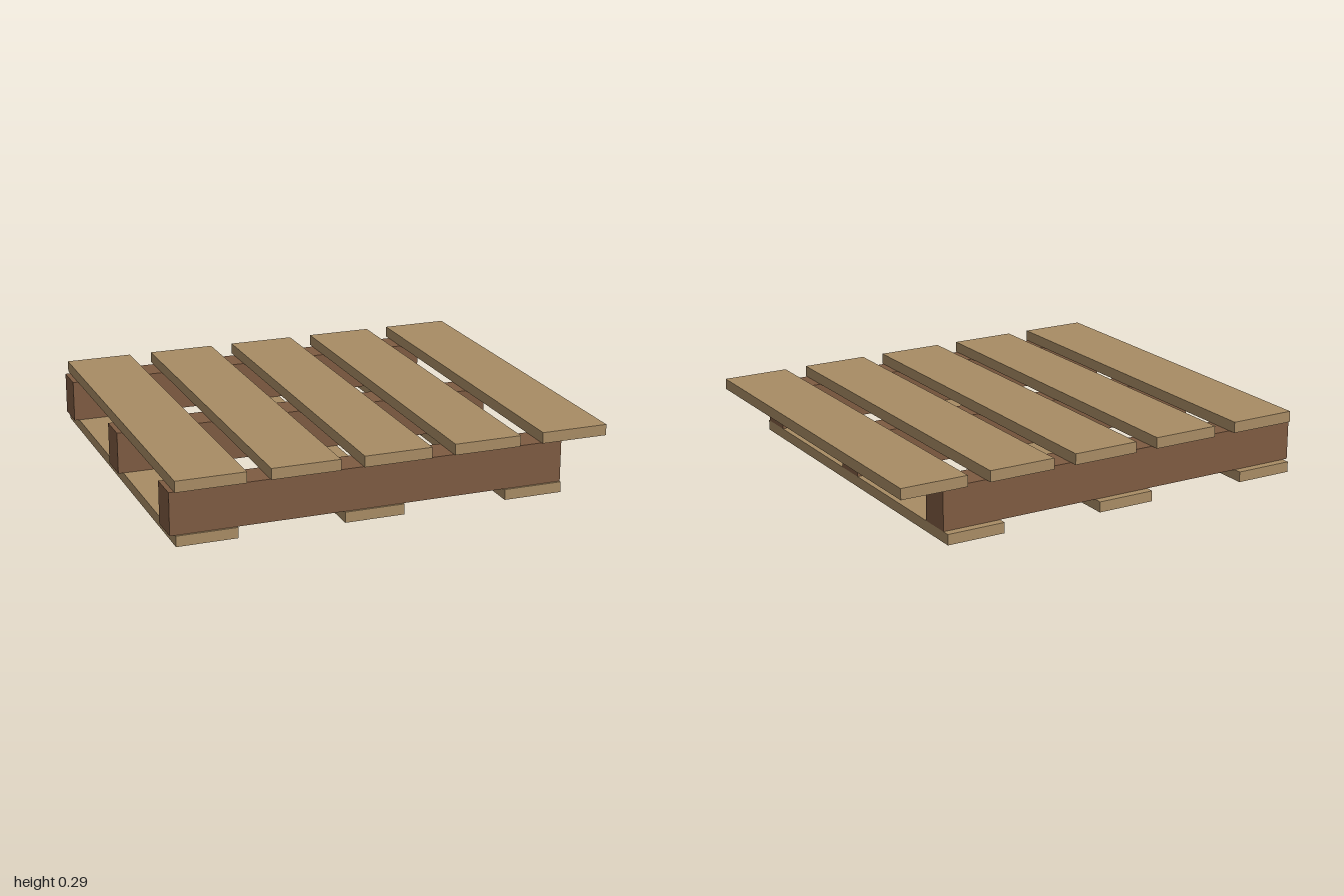
import * as THREE from 'three';

export function createModel() {
  const pallet = new THREE.Group();
  pallet.name = 'pallet';

  const paleWood = new THREE.MeshStandardMaterial({ name: 'paleWood', color: 0xa88c64 });
  const darkWood = new THREE.MeshStandardMaterial({ name: 'darkWood', color: 0x7e5b41 });

  function addBoard(name, material, size, position) {
    const board = new THREE.Mesh(new THREE.BoxGeometry(...size), material);
    board.name = name;
    board.position.set(...position);
    pallet.add(board);
  }

  // Five evenly spaced deck boards, overhanging the bearers on one side
  for (let i = 0; i < 5; i++) {
    addBoard('deckBoard' + (i + 1), paleWood, [0.31, 0.05, 1.76], [-0.822 + i * 0.4168, 0.263, 0]);
  }

  // Three bearers running across, between the deck and the base
  [0.796, 0.012, -0.769].forEach((z, i) => {
    addBoard('bearer' + (i + 1), darkWood, [1.786, 0.19, 0.148], [-0.107, 0.143, z]);
  });

  // Three base boards
  for (let i = 0; i < 3; i++) {
    addBoard('baseBoard' + (i + 1), paleWood, [0.271, 0.048, 1.76], [-0.8415 + i * 0.746, 0.024, 0]);
  }

  return pallet;
}
